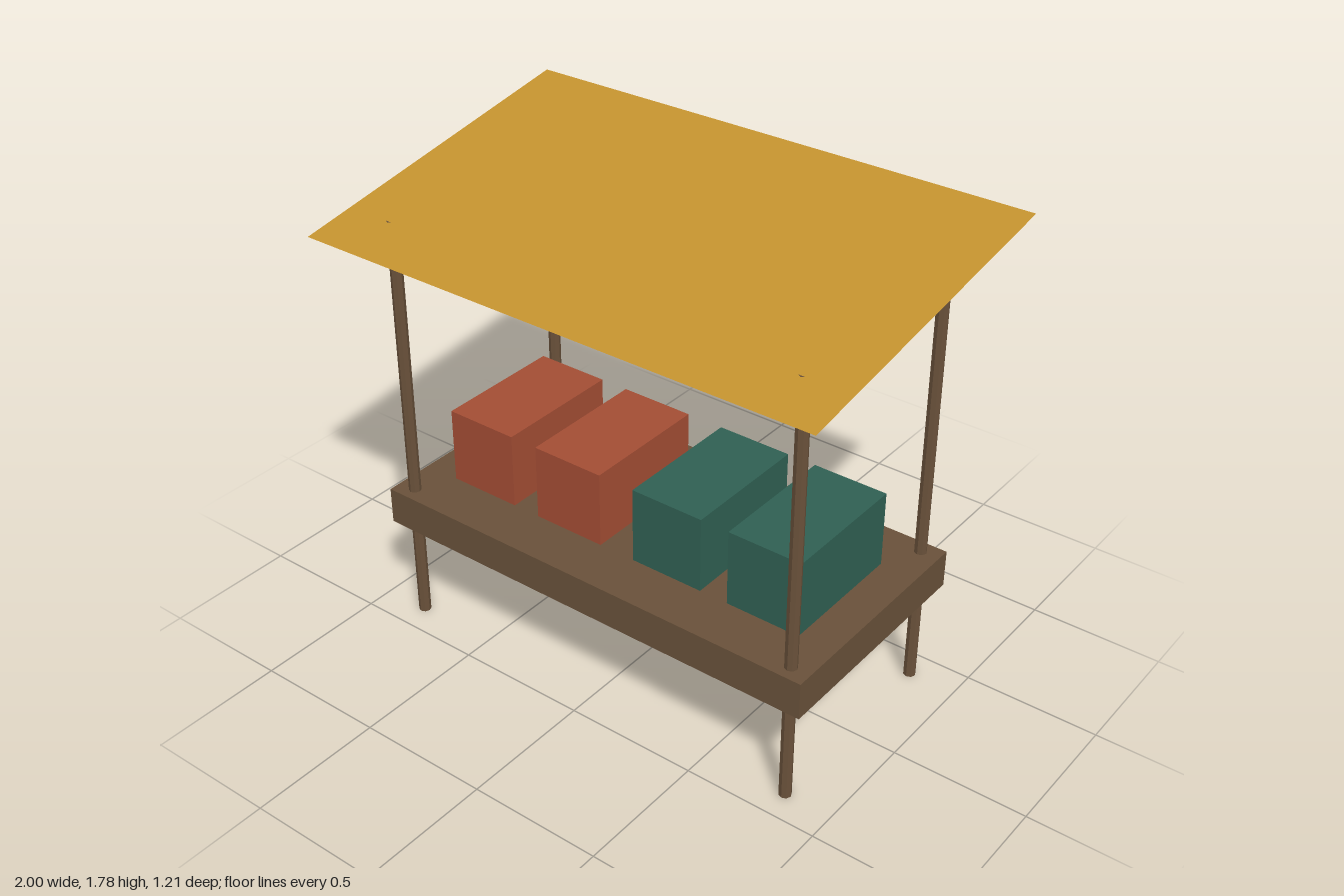
import * as THREE from 'three';

export function createModel() {
  const group = new THREE.Group();
  group.name = 'marketStall';

  const material = (name, color) => {
    const m = new THREE.MeshStandardMaterial({ color });
    m.name = name;
    return m;
  };
  const wood = material('brownWood', 0x69513a);
  const red = material('rustRed', 0xa34d34);
  const green = material('deepGreen', 0x306053);
  const cloth = material('ochreCloth', 0xc4922f);
  wood.flatShading = true;
  cloth.side = THREE.DoubleSide;

  const add = (name, geometry, mat, x, y, z) => {
    const mesh = new THREE.Mesh(geometry, mat);
    mesh.name = name;
    mesh.position.set(x, y, z);
    group.add(mesh);
    return mesh;
  };

  // Thick counter slab
  add('counter', new THREE.BoxGeometry(1.784, 0.14, 0.893), wood, 0, 0.467, 0);

  // Four posts running from the ground to the canopy
  const postHeight = 1.608;
  const postGeometry = new THREE.CylinderGeometry(0.0225, 0.0225, postHeight, 8);
  for (const [side, x] of [['left', 0.82], ['right', -0.82]]) {
    add(`${side}FrontPost`, postGeometry, wood, x, postHeight / 2, 0.393);
    add(`${side}BackPost`, postGeometry, wood, x, postHeight / 2, -0.393);
  }

  // Goods crates: two red on the right, two green on the left
  const crateGeometry = new THREE.BoxGeometry(0.285, 0.287, 0.5);
  [-0.61, -0.215, 0.213, 0.608].forEach((x, i) => {
    add(`crate${i + 1}`, crateGeometry, x < 0 ? red : green, x, 0.6805, 0);
  });

  // Thin cloth canopy sloping down to the front
  const rise = 0.21, run = 1.212;
  const canopyGeometry = new THREE.PlaneGeometry(2, Math.hypot(rise, run));
  canopyGeometry.rotateX(-Math.PI / 2 + Math.atan2(rise, run));
  add('canopy', canopyGeometry, cloth, 0, 1.679, 0);

  return group;
}
